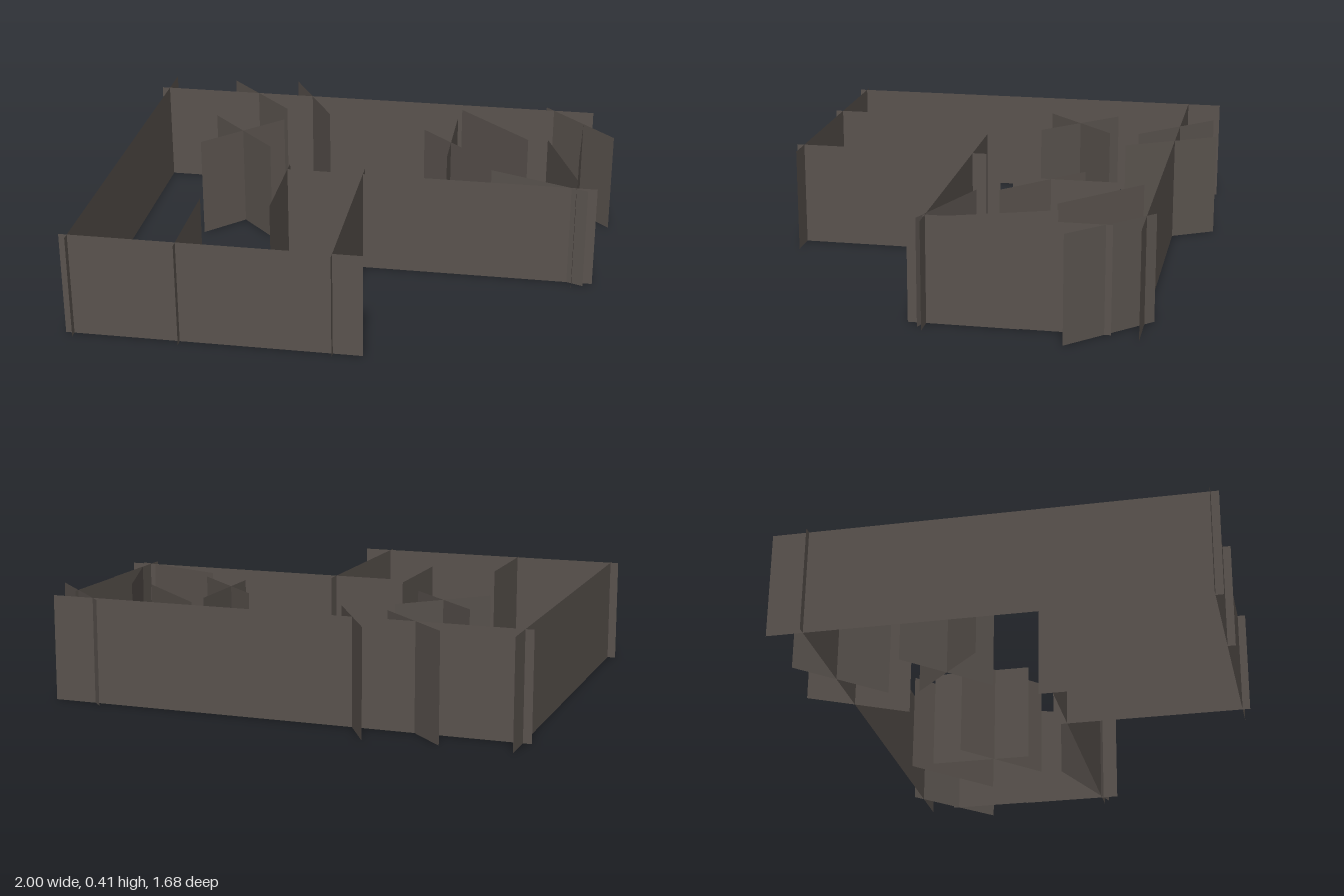
import * as THREE from 'three';

const HEIGHT = 0.415;

export function createModel() {
  const model = new THREE.Group();
  model.name = 'partitionLayout';
  const material = new THREE.MeshStandardMaterial({ color: 0x5a534e, side: THREE.DoubleSide });

  // Upright sheet standing on the ground between two plan points
  function addPanel(parent, name, x1, z1, x2, z2) {
    const geometry = new THREE.PlaneGeometry(Math.hypot(x2 - x1, z2 - z1), HEIGHT);
    const panel = new THREE.Mesh(geometry, material);
    panel.name = name;
    panel.position.set((x1 + x2) / 2, HEIGHT / 2, (z1 + z2) / 2);
    panel.rotation.y = -Math.atan2(z2 - z1, x2 - x1);
    parent.add(panel);
  }

  function addGroup(name, panels) {
    const group = new THREE.Group();
    group.name = name;
    panels.forEach((p) => addPanel(group, ...p));
    model.add(group);
  }

  // Long walls of the L-shaped outline, overrunning at the corners
  addGroup('outerWalls', [
    ['backWall', -1, -0.68, 0.905, -0.68],
    ['rightWall', -0.967, -0.82, -0.967, 0.84],
    ['frontWall', -1, 0.81, 0.14, 0.81],
    ['innerSideWall', 0.027, 0.047, 0.027, 0.84],
    ['innerFrontWall', -0.278, 0.104, 0.953, 0.104],
    ['leftWallRear', 0.868, -0.575, 0.868, -0.16],
    ['leftWallFront', 0.872, -0.24, 0.872, 0.173],
  ]);

  // Short square partitions at right angles to the walls
  addGroup('partitions', [
    ['entryPartition', -0.278, 0.047, -0.278, 0.457],
    ['frontPartition', -0.557, 0.425, -0.557, 0.84],
    ['middlePartition', 0.337, -0.533, 0.337, -0.12],
  ]);

  // Pair of crossed screens
  addGroup('crossedScreens', [
    ['crossScreenA', -0.685, -0.4, -0.392, -0.107],
    ['crossScreenB', -0.685, -0.107, -0.392, -0.4],
  ]);

  // Angled screens cutting through the walls and room
  addGroup('angledScreens', [
    ['backScreenA', -0.695, -0.813, -0.403, -0.52],
    ['backScreenB', -0.417, -0.845, -0.21, -0.488],
    ['middleScreenA', 0.212, -0.383, 0.517, -0.1],
    ['middleScreenB', 0.345, -0.627, 0.65, -0.343],
    ['cornerScreen', 0.703, -0.713, 1, -0.42],
    ['sideScreen', 0.73, -0.358, 0.873, 0.03],
    ['frontScreen', 0.528, -0.015, 0.917, 0.128],
  ]);

  return model;
}
